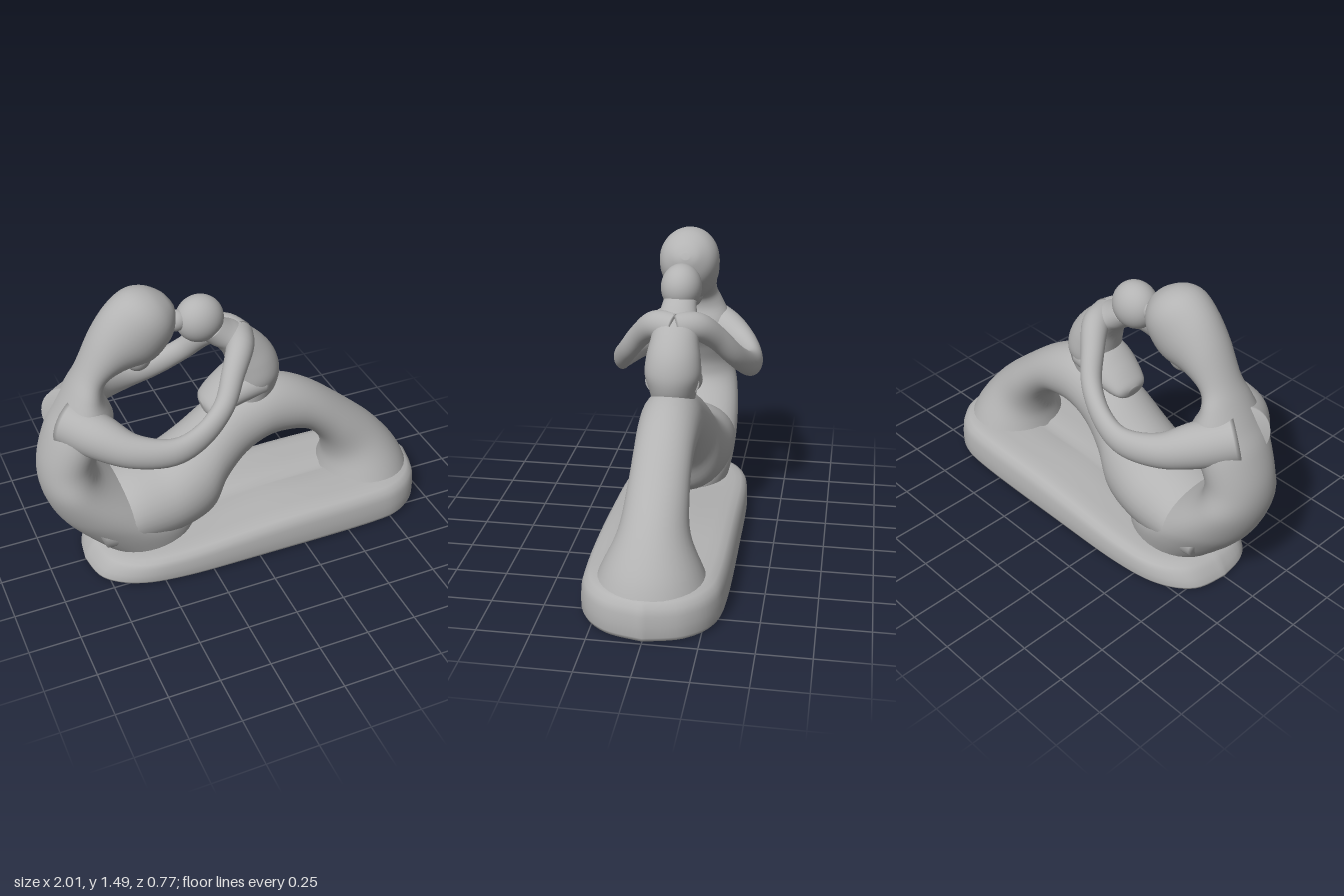
import * as THREE from 'three';

const SIDES = 36;

// Catmull-Rom through rows of numbers, so positions and widths ease together
function smoothRows(rows, steps = 6) {
  const out = [];
  const at = i => rows[Math.max(0, Math.min(rows.length - 1, i))];
  for (let i = 0; i < rows.length - 1; i++) {
    for (let s = 0; s < steps; s++) {
      const t = s / steps, a = at(i - 1), b = at(i), c = at(i + 1), d = at(i + 2);
      out.push(b.map((_, k) => 0.5 * (2 * b[k] + (c[k] - a[k]) * t
        + (2 * a[k] - 5 * b[k] + 4 * c[k] - d[k]) * t * t
        + (3 * b[k] - a[k] - 3 * c[k] + d[k]) * t * t * t)));
    }
  }
  out.push(rows[rows.length - 1]);
  return out;
}

// Skin a list of closed rings and cap both ends
function loft(rings) {
  const n = rings[0].length, pos = [], idx = [];
  rings.forEach(r => r.forEach(p => pos.push(p.x, p.y, p.z)));
  for (let i = 0; i < rings.length - 1; i++) {
    for (let j = 0; j < n; j++) {
      const a = i * n + j, b = i * n + (j + 1) % n;
      idx.push(a, b, a + n, b, b + n, a + n);
    }
  }
  [0, rings.length - 1].forEach((i, end) => {
    const c = new THREE.Vector3();
    rings[i].forEach(p => c.addScaledVector(p, 1 / n));
    const m = pos.length / 3;
    pos.push(c.x, c.y, c.z);
    for (let j = 0; j < n; j++) {
      const a = i * n + j, b = i * n + (j + 1) % n;
      end ? idx.push(a, b, m) : idx.push(b, a, m);
    }
  });
  // Turn the faces outward whichever way the rings run
  const v = k => new THREE.Vector3().fromArray(pos, idx[k] * 3);
  let volume = 0;
  for (let k = 0; k < idx.length; k += 3) volume += v(k).dot(v(k + 1).cross(v(k + 2)));
  if (volume < 0) idx.reverse();
  const g = new THREE.BufferGeometry();
  g.setAttribute('position', new THREE.Float32BufferAttribute(pos, 3));
  g.setIndex(idx);
  g.computeVertexNormals();
  return g;
}

function ellipse(center, u, v) {
  return Array.from({ length: SIDES }, (_, j) => {
    const t = j / SIDES * Math.PI * 2;
    return center.clone().addScaledVector(u, Math.cos(t)).addScaledVector(v, Math.sin(t));
  });
}

// Body from two outline edges: rows of [x1, y1, x2, y2, half depth]
function bodyFromEdges(rows) {
  return loft(smoothRows(rows).map(([x1, y1, x2, y2, d]) => ellipse(
    new THREE.Vector3((x1 + x2) / 2, (y1 + y2) / 2, 0),
    new THREE.Vector3((x2 - x1) / 2, (y2 - y1) / 2, 0),
    new THREE.Vector3(0, 0, d))));
}

// Limb along a path: rows of [x, y, z, vertical radius, side radius]
function limb(rows) {
  const path = smoothRows(rows), up = new THREE.Vector3(0, 1, 0);
  const point = i => new THREE.Vector3().fromArray(path[Math.max(0, Math.min(path.length - 1, i))]);
  return loft(path.map((r, i) => {
    const t = point(i + 1).sub(point(i - 1)).normalize();
    const side = t.clone().cross(up).normalize();
    const top = side.clone().cross(t);
    return ellipse(point(i), side.multiplyScalar(r[4]), top.multiplyScalar(r[3]));
  }));
}

// Rounded plinth whose top rises towards the right end
function plinth() {
  const half = smoothRows([[-0.83, 0], [-0.79, 0.17], [-0.64, 0.28], [-0.4, 0.325], [0, 0.335],
    [0.6, 0.335], [0.82, 0.3], [0.95, 0.18], [1, 0]]);
  const outline = half.concat(half.slice(1, -1).reverse().map(([x, z]) => [x, -z]));
  const mid = 0.085;
  const ring = ([inset, level]) => outline.map(([x, z]) => {
    const rise = THREE.MathUtils.smoothstep(x, -0.9, 0.4);
    const height = 0.125 + 0.075 * rise;
    const lean = x < -0.5 ? (-0.5 - x) * 0.2 * level : 0;
    return new THREE.Vector3(mid + (x - mid) * (1 - inset / 0.915) + lean,
      level * height, z * (1 - inset / 0.335));
  });
  return loft([[0.03, 0], [0.025, 0], [0.008, 0.04], [0, 0.14], [0, 0.4], [0.004, 0.65],
    [0.014, 0.82], [0.035, 0.93], [0.07, 0.985], [0.12, 1], [0.2, 1], [0.3, 1]].map(ring));
}

export function createModel() {
  const group = new THREE.Group();
  const stone = new THREE.MeshStandardMaterial({ color: 0xb3b3b3 });
  stone.name = 'grey stone';

  const add = (name, geometry) => {
    const mesh = new THREE.Mesh(geometry, stone);
    mesh.name = name;
    group.add(mesh);
    return mesh;
  };
  const blob = (name, p, r) => {
    const mesh = add(name, new THREE.SphereGeometry(1, 40, 28));
    mesh.position.set(...p);
    mesh.scale.set(...r);
  };

  add('base', plinth());

  // Parent: seat, back, neck and bowed head in one sweep
  add('parentTorsoAndHead', bodyFromEdges([
    [-0.72, 0.1, -0.25, 0.1, 0.2],
    [-0.86, 0.25, -0.26, 0.22, 0.23],
    [-0.95, 0.38, -0.45, 0.36, 0.235],
    [-1.0, 0.53, -0.69, 0.54, 0.215],
    [-1.0, 0.68, -0.73, 0.65, 0.185],
    [-0.95, 0.84, -0.69, 0.77, 0.19],
    [-0.89, 0.95, -0.63, 0.89, 0.185],
    [-0.83, 1.06, -0.67, 1.0, 0.14],
    [-0.78, 1.15, -0.65, 1.07, 0.11],
    [-0.7, 1.31, -0.56, 1.11, 0.125],
    [-0.62, 1.42, -0.43, 1.13, 0.145],
    [-0.53, 1.482, -0.355, 1.2, 0.15],
    [-0.44, 1.485, -0.32, 1.26, 0.125],
    [-0.36, 1.445, -0.305, 1.33, 0.07],
    [-0.32, 1.4, -0.306, 1.37, 0.02]]));
  blob('parentChin', [-0.49, 1.155, 0], [0.07, 0.085, 0.07]);

  // Parent: hips, raised knee and shin flowing into the base
  add('parentLegs', bodyFromEdges([
    [-0.82, 0.4, -0.72, 0.12, 0.19],
    [-0.6, 0.505, -0.6, 0.12, 0.235],
    [-0.42, 0.55, -0.36, 0.12, 0.235],
    [-0.28, 0.64, -0.17, 0.18, 0.215],
    [-0.14, 0.75, -0.09, 0.33, 0.18],
    [-0.01, 0.82, 0.02, 0.455, 0.155],
    [0.13, 0.855, 0.14, 0.525, 0.15],
    [0.27, 0.83, 0.26, 0.53, 0.145],
    [0.42, 0.75, 0.37, 0.5, 0.14],
    [0.6, 0.605, 0.46, 0.41, 0.145],
    [0.78, 0.44, 0.5, 0.3, 0.165],
    [0.92, 0.26, 0.49, 0.2, 0.23],
    [0.985, 0.1, 0.45, 0.08, 0.29]]));

  // Child: seated body, lap and head
  add('childBody', bodyFromEdges([
    [-0.03, 0.74, 0.18, 0.79, 0.1],
    [-0.03, 0.82, 0.21, 0.86, 0.115],
    [-0.03, 0.9, 0.217, 0.94, 0.135],
    [-0.04, 0.97, 0.19, 1.03, 0.13],
    [-0.06, 1.04, 0.13, 1.11, 0.115],
    [-0.1, 1.1, 0.04, 1.185, 0.105],
    [-0.14, 1.13, -0.03, 1.22, 0.09],
    [-0.19, 1.18, -0.08, 1.25, 0.08]]));
  add('childLap', bodyFromEdges([
    [0.12, 0.98, 0.12, 0.8, 0.13],
    [-0.01, 0.96, 0, 0.77, 0.13],
    [-0.1, 0.9, -0.09, 0.74, 0.115],
    [-0.165, 0.835, -0.16, 0.74, 0.085],
    [-0.185, 0.8, -0.175, 0.76, 0.03]]));
  blob('childHead', [-0.18, 1.27, 0], [0.115, 0.115, 0.1]);
  blob('touchingForeheads', [-0.3, 1.285, 0], [0.07, 0.05, 0.05]);

  // Linked arms, one loop on each side
  for (const side of [1, -1]) {
    add(side > 0 ? 'frontArms' : 'backArms', limb([
      [-0.85, 0.9, 0.03, 0.12, 0.11],
      [-0.74, 0.865, 0.165, 0.11, 0.1],
      [-0.62, 0.825, 0.275, 0.085, 0.07],
      [-0.45, 0.81, 0.335, 0.07, 0.05],
      [-0.3, 0.85, 0.32, 0.062, 0.045],
      [-0.17, 0.94, 0.265, 0.055, 0.048],
      [-0.09, 1.05, 0.185, 0.058, 0.055],
      [-0.02, 1.125, 0.1, 0.07, 0.065],
      [0.02, 1.12, 0, 0.08, 0.07]].map(r => r.map((v, k) => k === 2 ? v * side : v))));
  }
  return group;
}
